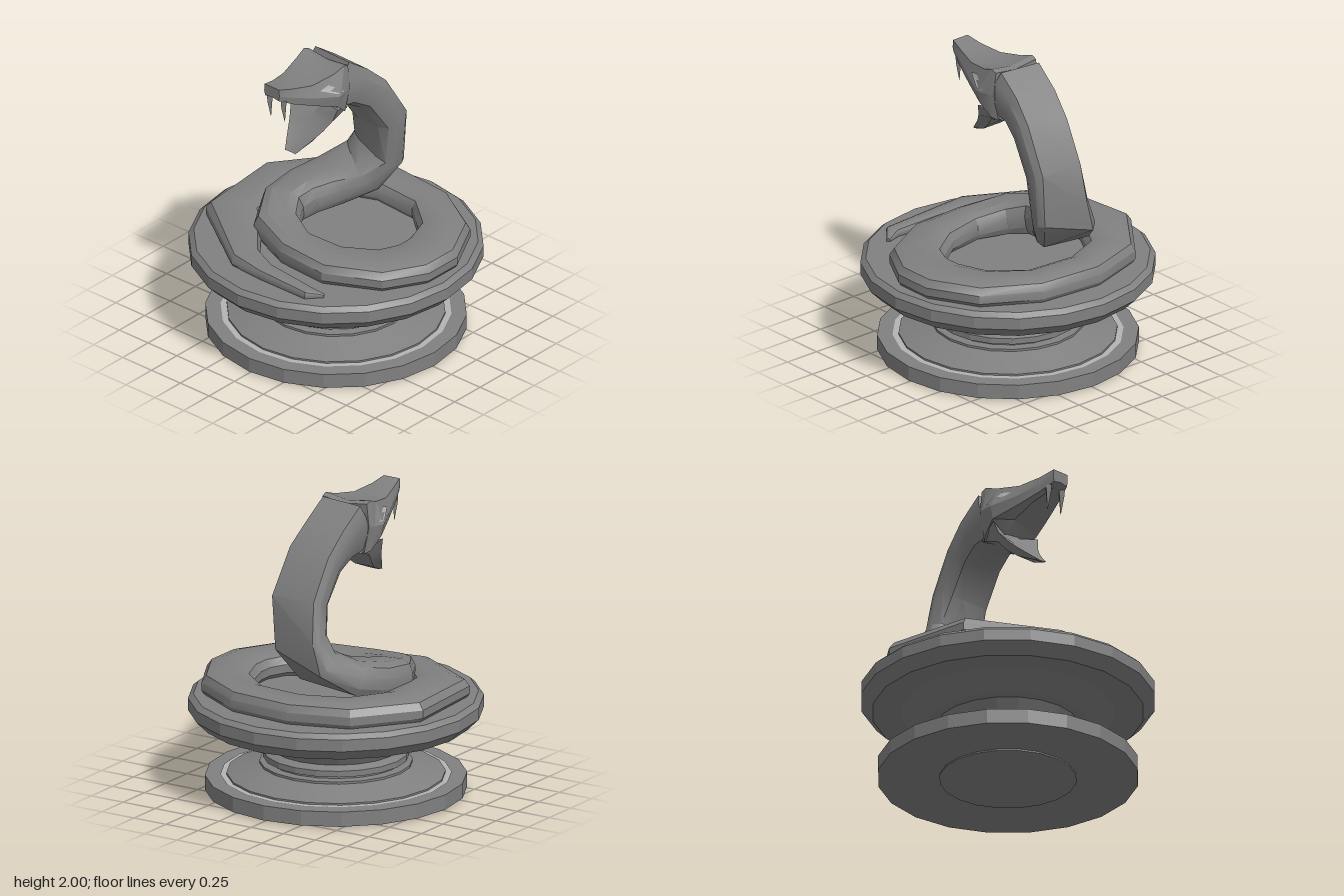
import * as THREE from 'three';
import { toCreasedNormals } from 'three/addons/utils/BufferGeometryUtils.js';

const V = (x, y, z) => new THREE.Vector3(x, y, z);
const lerp = THREE.MathUtils.lerp;

// Skin closed rings of points into a capped solid, facing outwards
function loft(rings, crease = 0.5) {
  const n = rings[0].length, pts = rings.flat(), tris = [];
  for (let i = 0; i < rings.length - 1; i++) {
    for (let j = 0; j < n; j++) {
      const a = i * n + j, b = i * n + (j + 1) % n;
      tris.push([a, b, b + n], [a, b + n, a + n]);
    }
  }
  [0, rings.length - 1].forEach((r, end) => {
    const mid = rings[r].reduce((s, p) => s.add(p), V(0, 0, 0)).divideScalar(n);
    const c = pts.push(mid) - 1;
    for (let j = 0; j < n; j++) {
      const a = r * n + j, b = r * n + (j + 1) % n;
      tris.push(end ? [c, a, b] : [c, b, a]);
    }
  });
  let volume = 0;
  for (const [a, b, c] of tris) volume += pts[a].dot(V(0, 0, 0).crossVectors(pts[b], pts[c]));
  if (volume < 0) tris.forEach((t) => t.reverse());
  const g = new THREE.BufferGeometry();
  g.setAttribute('position', new THREE.Float32BufferAttribute(pts.flatMap((p) => p.toArray()), 3));
  g.setIndex(tris.flat());
  return toCreasedNormals(g, crease);
}

export function createModel() {
  const model = new THREE.Group();
  const stone = new THREE.MeshStandardMaterial({ color: 0x808080 });
  stone.name = 'grey stone';
  const pale = new THREE.MeshStandardMaterial({ color: 0xb4b4b4, side: THREE.DoubleSide });
  pale.name = 'pale stone';
  const add = (name, geo, mat = stone, parent = model) => {
    const m = new THREE.Mesh(geo, mat);
    m.name = name;
    parent.add(m);
    return m;
  };

  // Pedestal: twenty-sided turned profile
  const profile = [
    [0, 0], [0.45, 0], [0.45, 0.01], [0.855, 0.01], [0.855, 0.11], [0.715, 0.11], [0.715, 0.125],
    [0.5, 0.19], [0.5, 0.205], [0.44, 0.21], [0.44, 0.228], [0.475, 0.23], [0.475, 0.27], [0.42, 0.295],
    [0.47, 0.375], [0.54, 0.375], [0.7, 0.48], [0.89, 0.48], [0.965, 0.555], [0.965, 0.635],
    [0.93, 0.665], [0, 0.665],
  ].map(([r, y]) => new THREE.Vector2(r, y));
  add('pedestal', toCreasedNormals(new THREE.LatheGeometry(profile, 20), 0.25));
  const trim = add('baseTrim', new THREE.RingGeometry(0.715, 0.755, 20), pale);
  trim.rotation.x = -Math.PI / 2;
  trim.position.y = 0.113;

  // Body from tail tip to neck: x, y, z, half width, half height, share of sideways frame
  const spine = [
    [0.47, 0.675, 0.65, 0.012, 0.012, 0], [0.38, 0.69, 0.71, 0.05, 0.03, 0],
    [0, 0.7, 0.7, 0.065, 0.04, 0], [-0.2, 0.71, 0.66, 0.1, 0.055, 0],
    [-0.62, 0.73, 0.3, 0.19, 0.075, 0], [-0.66, 0.735, -0.2, 0.19, 0.078, 0],
    [-0.44, 0.735, -0.52, 0.16, 0.08, 0], [-0.11, 0.735, -0.64, 0.14, 0.08, 0],
    [0.285, 0.735, -0.61, 0.14, 0.08, 0], [0.57, 0.735, -0.42, 0.17, 0.08, 0],
    [0.69, 0.735, -0.16, 0.19, 0.08, 0], [0.69, 0.735, 0.03, 0.19, 0.08, 0],
    [0.585, 0.735, 0.23, 0.18, 0.08, 0], [0.31, 0.74, 0.39, 0.16, 0.08, 0],
    [0, 0.755, 0.4, 0.13, 0.085, 0], [-0.25, 0.785, 0.3, 0.15, 0.1, 0],
    [-0.36, 0.82, 0.11, 0.15, 0.11, 0], [-0.34, 0.85, -0.07, 0.17, 0.11, 0.1],
    [-0.26, 0.89, -0.24, 0.19, 0.11, 0.4], [-0.13, 0.98, -0.4, 0.2, 0.11, 0.7],
    [-0.04, 1.13, -0.455, 0.2, 0.09, 0.9], [-0.01, 1.4, -0.425, 0.19, 0.105, 1],
    [-0.03, 1.64, -0.275, 0.185, 0.115, 1], [-0.055, 1.745, -0.145, 0.18, 0.135, 1],
    [-0.07, 1.815, 0.03, 0.18, 0.185, 1],
  ];
  const section = [
    [0.85, -1], [1, -0.55], [1, 0.15], [0.82, 0.75], [0.45, 1],
    [-0.45, 1], [-0.82, 0.75], [-1, 0.15], [-1, -0.55], [-0.85, -1],
  ];
  const centres = spine.map(([x, y, z]) => V(x, y, z));
  const rings = spine.map(([, , , w, h, k], i) => {
    const before = centres[Math.max(i - 1, 0)], after = centres[Math.min(i + 1, spine.length - 1)];
    const t1 = centres[i].clone().sub(before).normalize();
    const t = after.clone().sub(centres[i]).normalize().add(t1).normalize();
    const s = V(-t.z, 0, t.x).normalize().lerp(V(1, 0, 0), k);
    s.addScaledVector(t, -s.dot(t)).normalize();
    const up = V(0, 0, 0).crossVectors(s, t);
    return section.map(([a, b]) => centres[i].clone().addScaledVector(s, a * w).addScaledVector(up, b * h));
  });
  add('coiledBody', loft(rings, 0.5));

  // Head group, centred on its own x = 0
  const head = new THREE.Group();
  head.name = 'head';
  head.position.x = -0.068;
  model.add(head);

  // z, brow half width, brow y, crown y, cheek half width, cheek y, lip half width, lip y, palate y
  const skull = [
    [0.0, 0.172, 1.985, 1.965, 0.19, 1.83, 0.15, 1.64, 1.64],
    [0.04, 0.175, 2.0, 1.975, 0.205, 1.83, 0.18, 1.66, 1.66],
    [0.13, 0.162, 1.97, 1.955, 0.222, 1.825, 0.2, 1.74, 1.8],
    [0.3, 0.125, 1.945, 1.95, 0.155, 1.86, 0.145, 1.8, 1.87],
    [0.45, 0.085, 1.97, 1.975, 0.1, 1.91, 0.095, 1.86, 1.9],
    [0.555, 0.062, 2.0, 2.0, 0.066, 1.95, 0.058, 1.915, 1.925],
  ];
  add('upperHead', loft(skull.map(([z, a, ay, my, b, by, c, cy, py]) => [
    V(0, my, z), V(a, ay, z), V(b, by, z), V(c, cy, z),
    V(0, py, z), V(-c, cy, z), V(-b, by, z), V(-a, ay, z),
  ]), 0.35), stone, head);

  // Lower jaw: front z, front y, back z, back y, half width
  const jaw = [
    [0.14, 1.72, -0.03, 1.65, 0.205], [0.165, 1.635, 0.1, 1.61, 0.18],
    [0.215, 1.57, 0.165, 1.535, 0.145], [0.28, 1.51, 0.235, 1.48, 0.105], [0.375, 1.43, 0.36, 1.425, 0.045],
  ];
  add('lowerJaw', loft(jaw.map(([zf, yf, zb, yb, w]) => [
    V(w, yf, zf), V(0, lerp(yf, yb, 0.45), lerp(zf, zb, 0.45)), V(-w, yf, zf),
    V(-0.7 * w, yb, zb), V(0.7 * w, yb, zb),
  ])), stone, head);

  // Slanted eyes lying on the cheeks
  const onCheek = (z, y) => {
    const i = skull.findIndex((s) => s[0] > z);
    const s = skull[i - 1].map((v, k) => lerp(v, skull[i][k], (z - skull[i - 1][0]) / (skull[i][0] - skull[i - 1][0])));
    return lerp(s[4], s[1], (y - s[5]) / (s[2] - s[5])) + 0.007;
  };
  const eyeOutline = [[0.26, 1.9], [0.19, 1.92], [0.085, 1.845], [0.15, 1.85]];

  for (const side of [1, -1]) {
    const eye = new THREE.BufferGeometry().setFromPoints(eyeOutline.map(([z, y]) => V(side * onCheek(z, y), y, z)));
    eye.setIndex(side > 0 ? [0, 2, 1, 0, 3, 2] : [0, 1, 2, 0, 2, 3]);
    eye.computeVertexNormals();
    add(side > 0 ? 'leftEye' : 'rightEye', eye, pale, head);

    // Fangs: four-sided, hanging from the front lip
    const fang = loft([[0.505, 1.9, 0.03], [0.505, 1.85, 0.024], [0.495, 1.735, 0.002]].map(([z, y, r]) =>
      [[1, 0], [0, 1], [-1, 0], [0, -1]].map(([a, b]) => V(side * 0.06 + a * r * 0.8, y, z + b * r))));
    add(side > 0 ? 'leftFang' : 'rightFang', fang, stone, head);
  }
  return model;
}
